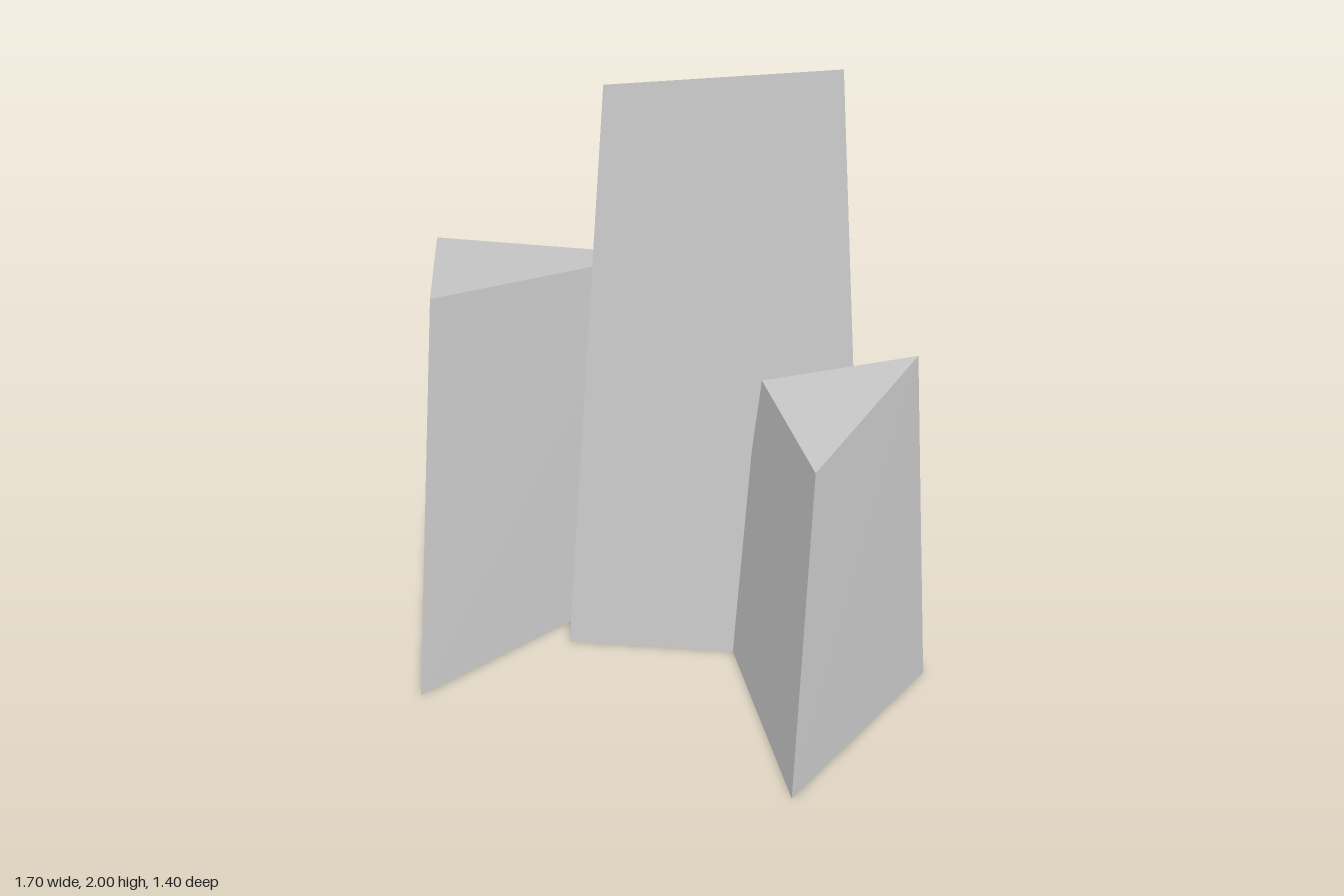
import * as THREE from 'three';

const material = new THREE.MeshStandardMaterial({ color: 0xcccccc, flatShading: true });

// Tapered triangular block with a slanted top.
// base: three [x, z] corners on the ground; top: three [x, y, z] corners.
// Both run counter-clockwise as seen from above.
function taperedPrism(name, base, top) {
  const b = base.map(([x, z]) => [x, 0, z]);
  const corners = [...top, b[0], b[2], b[1]];
  for (let i = 0; i < 3; i++) {
    const j = (i + 1) % 3;
    corners.push(b[i], b[j], top[j], b[i], top[j], top[i]);
  }
  const geometry = new THREE.BufferGeometry();
  geometry.setAttribute('position', new THREE.Float32BufferAttribute(corners.flat(), 3));
  geometry.computeVertexNormals();
  const mesh = new THREE.Mesh(geometry, material);
  mesh.name = name;
  return mesh;
}

export function createModel() {
  const group = new THREE.Group();
  group.name = 'prismTowers';

  // Tall block in the middle
  group.add(taperedPrism('centreTower',
    [[-0.3, -0.02], [0.66, 0.06], [-0.01, -0.63]],
    [[-0.16, 1.93, -0.073], [0.498, 2, -0.016], [0.037, 1.7, -0.493]]));

  // Medium block on the model's right, running into the tall one
  group.add(taperedPrism('rightTower',
    [[-0.854, -0.705], [-0.758, 0.253], [0.12, -0.48]],
    [[-0.73, 1.2, -0.59], [-0.663, 1.33, 0.07], [-0.025, 1.22, -0.44]]));

  // Short block at the front on the model's left
  group.add(taperedPrism('leftTower',
    [[0.397, 0.697], [0.85, 0.12], [0.215, -0.07]],
    [[0.428, 1.065, 0.56], [0.74, 1.205, 0.162], [0.302, 1.04, 0.03]]));

  return group;
}
